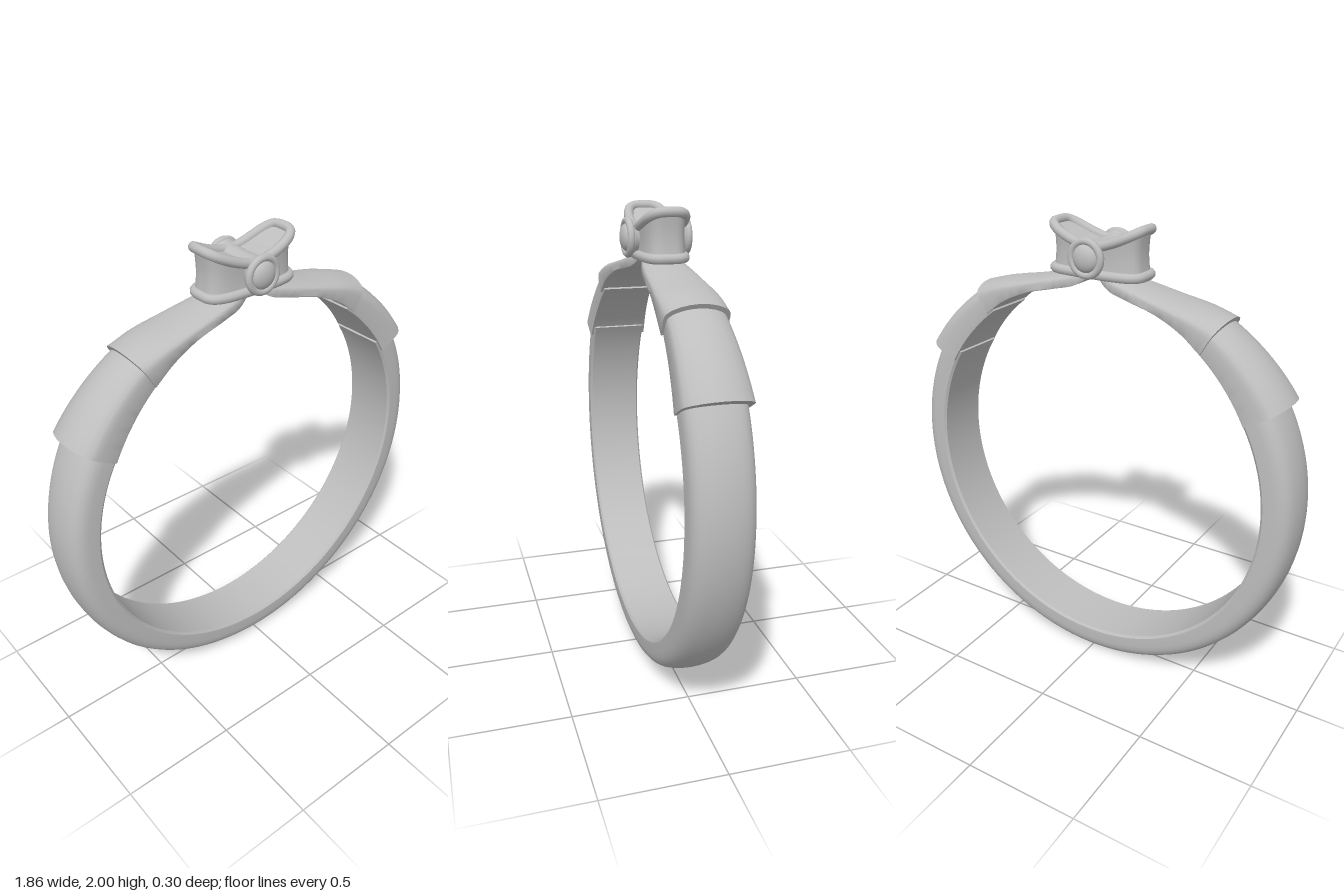
import * as THREE from 'three';
import { toCreasedNormals } from 'three/addons/utils/BufferGeometryUtils.js';

const V = (x, y, z) => new THREE.Vector3(x, y, z);
const CENTRE_Y = 0.93;
const KNOT_Y = 1.87;

// Skin a list of closed loops, cap both ends and keep sharp edges.
function loft(loops, crease = 0.65) {
  const n = loops[0].length, pos = [], idx = [];
  for (const loop of loops) for (const p of loop) pos.push(p.x, p.y, p.z);
  for (let i = 0; i < loops.length - 1; i++) {
    for (let j = 0; j < n; j++) {
      const a = i * n + j, b = i * n + (j + 1) % n;
      idx.push(a, b, a + n, b, b + n, a + n);
    }
  }
  for (const end of [0, loops.length - 1]) {
    const c = loops[end].reduce((s, p) => s.add(p), V(0, 0, 0)).divideScalar(n);
    const k = pos.length / 3;
    pos.push(c.x, c.y, c.z);
    for (let j = 0; j < n; j++) {
      const a = end * n + j, b = end * n + (j + 1) % n;
      if (end === 0) idx.push(k, b, a); else idx.push(k, a, b);
    }
  }
  // Turn the faces outwards if the enclosed volume is negative.
  const at = i => V(pos[3 * i], pos[3 * i + 1], pos[3 * i + 2]);
  let volume = 0;
  for (let i = 0; i < idx.length; i += 3) {
    volume += at(idx[i]).dot(at(idx[i + 1]).cross(at(idx[i + 2])));
  }
  if (volume < 0) idx.reverse();
  const g = new THREE.BufferGeometry();
  g.setAttribute('position', new THREE.Float32BufferAttribute(pos, 3));
  g.setIndex(idx);
  return toCreasedNormals(g, crease);
}

// Half profiles as [width share, height share from inside to outside].
const bandProfile = [[0.93, 0], [1, 0.08], [1, 0.42], [0.975, 0.58], [0.92, 0.71],
  [0.82, 0.82], [0.68, 0.9], [0.5, 0.95], [0.25, 0.99]];
const cuffProfile = [[0.98, 0], [1, 0.05], [1, 0.5], [0.985, 0.62], [0.94, 0.71],
  [0.8, 0.82], [0.55, 0.92], [0.28, 0.98]];

// One cross-section between an inner and an outer point.
function section(profile, inner, outer, half) {
  const put = (w, u) => inner.clone().lerp(outer, u).setZ(w * half);
  return [
    ...profile.map(([w, u]) => put(w, u)),
    put(0, 1),
    ...profile.slice().reverse().map(([w, u]) => put(-w, u)),
  ];
}

const polar = (r, deg) => {
  const a = THREE.MathUtils.degToRad(deg);
  return V(r * Math.cos(a), CENTRE_Y + r * Math.sin(a), 0);
};

// Sections along an arc with linear change of radii and width.
function arc(profile, from, to, steps, [in0, in1], [out0, out1], [w0, w1], side = 1) {
  const { lerp } = THREE.MathUtils;
  const loops = [];
  for (let i = 0; i <= steps; i++) {
    const t = i / steps, deg = lerp(from, to, t);
    const s = section(profile, polar(lerp(in0, in1, t), deg), polar(lerp(out0, out1, t), deg), lerp(w0, w1, t));
    s.forEach(p => { p.x *= side; });
    loops.push(s);
  }
  return loft(loops);
}

// Tapering shoulder that sweeps up to the setting.
function shoulder(side) {
  const outer = new THREE.CatmullRomCurve3([V(0.578, 1.69, 0.128), V(0.47, 1.718, 0.124),
    V(0.33, 1.743, 0.112), V(0.2, 1.772, 0.1), V(0.1, 1.795, 0.085), V(0.01, 1.805, 0.06)]);
  const inner = new THREE.CatmullRomCurve3([V(0.508, 1.57, 0), V(0.42, 1.637, 0),
    V(0.3, 1.69, 0), V(0.17, 1.722, 0), V(0.08, 1.745, 0), V(0.01, 1.79, 0)]);
  const loops = [];
  for (let i = 0; i <= 28; i++) {
    const o = outer.getPoint(i / 28), n = inner.getPoint(i / 28);
    const s = section(cuffProfile, n, o, o.z);
    s.forEach(p => { p.x *= side; });
    loops.push(s);
  }
  return loft(loops);
}

// Rounded outline of the setting and the height of its dipped top.
function outline(rx, rz, yAt) {
  const loop = [], N = 72;
  const soft = v => Math.sign(v) * Math.pow(Math.abs(v), 0.55);
  for (let i = 0; i < N; i++) {
    const a = (i + 0.5) / N * Math.PI * 2;
    const x = rx * soft(Math.cos(a)), z = rz * soft(Math.sin(a));
    loop.push(V(x, yAt(x), z));
  }
  return loop;
}
const topY = x => 1.91 + 0.07 * Math.pow(Math.abs(x) / 0.2, 1.6);

function settingBody() {
  const loops = [outline(0.203, 0.088, () => 1.79)];
  // Slightly waisted wall
  for (let i = 0; i <= 8; i++) {
    const t = i / 8, k = 1 - 0.04 * Math.sin(Math.PI * t);
    loops.push(outline(0.203 * k, 0.088 * k, x => THREE.MathUtils.lerp(1.8, topY(x), t)));
  }
  // Dipped top surface
  for (let i = 7; i >= 1; i--) loops.push(outline(0.203 * i / 8, 0.088 * i / 8, topY));
  return loft(loops);
}

const rim = yAt => new THREE.TubeGeometry(
  new THREE.CatmullRomCurve3(outline(0.203, 0.086, yAt), true), 120, 0.02, 10, true);

export function createModel() {
  const model = new THREE.Group();
  const silver = new THREE.MeshStandardMaterial({ color: 0xbebebe });
  silver.name = 'silver';

  const add = (name, geometry, parent = model) => {
    const mesh = new THREE.Mesh(geometry, silver);
    mesh.name = name;
    parent.add(mesh);
    return mesh;
  };

  // Domed band, open at the top
  add('band', arc(bandProfile, 147, 393, 110, [0.8, 0.8], [0.93, 0.93], [0.125, 0.125]));

  // Cuffs and shoulders on both sides
  for (const [label, side] of [['left', 1], ['right', -1]]) {
    add(label + 'Cuff', arc(cuffProfile, 29.2, 54, 16, [0.808, 0.81], [0.977, 0.932], [0.137, 0.114], side));
    add(label + 'Shoulder', shoulder(side));
  }

  // Setting with its two rims
  add('settingBody', settingBody());
  add('lowerRim', rim(() => 1.802));
  add('upperRim', rim(topY));

  // Cross knot, flared at both ends
  const profile = [[0, -0.125], [0.066, -0.125], [0.076, -0.112], [0.066, -0.098], [0.06, -0.07],
    [0.058, 0], [0.06, 0.07], [0.066, 0.098], [0.076, 0.112], [0.066, 0.125], [0, 0.125]];
  const knot = add('knot', new THREE.LatheGeometry(profile.map(p => new THREE.Vector2(...p)), 40));
  knot.rotation.x = Math.PI / 2;
  knot.position.y = KNOT_Y;

  // Ringed buttons on the front and back of the knot
  for (const [label, dir] of [['front', 1], ['back', -1]]) {
    const button = new THREE.Group();
    button.name = label + 'Button';
    button.position.set(0, KNOT_Y, dir * 0.12);
    add('buttonRing', new THREE.TorusGeometry(0.067, 0.015, 12, 48), button);
    const dome = add('buttonDome', new THREE.SphereGeometry(0.057, 32, 20), button);
    dome.scale.z = 0.55;
    model.add(button);
  }
  return model;
}
